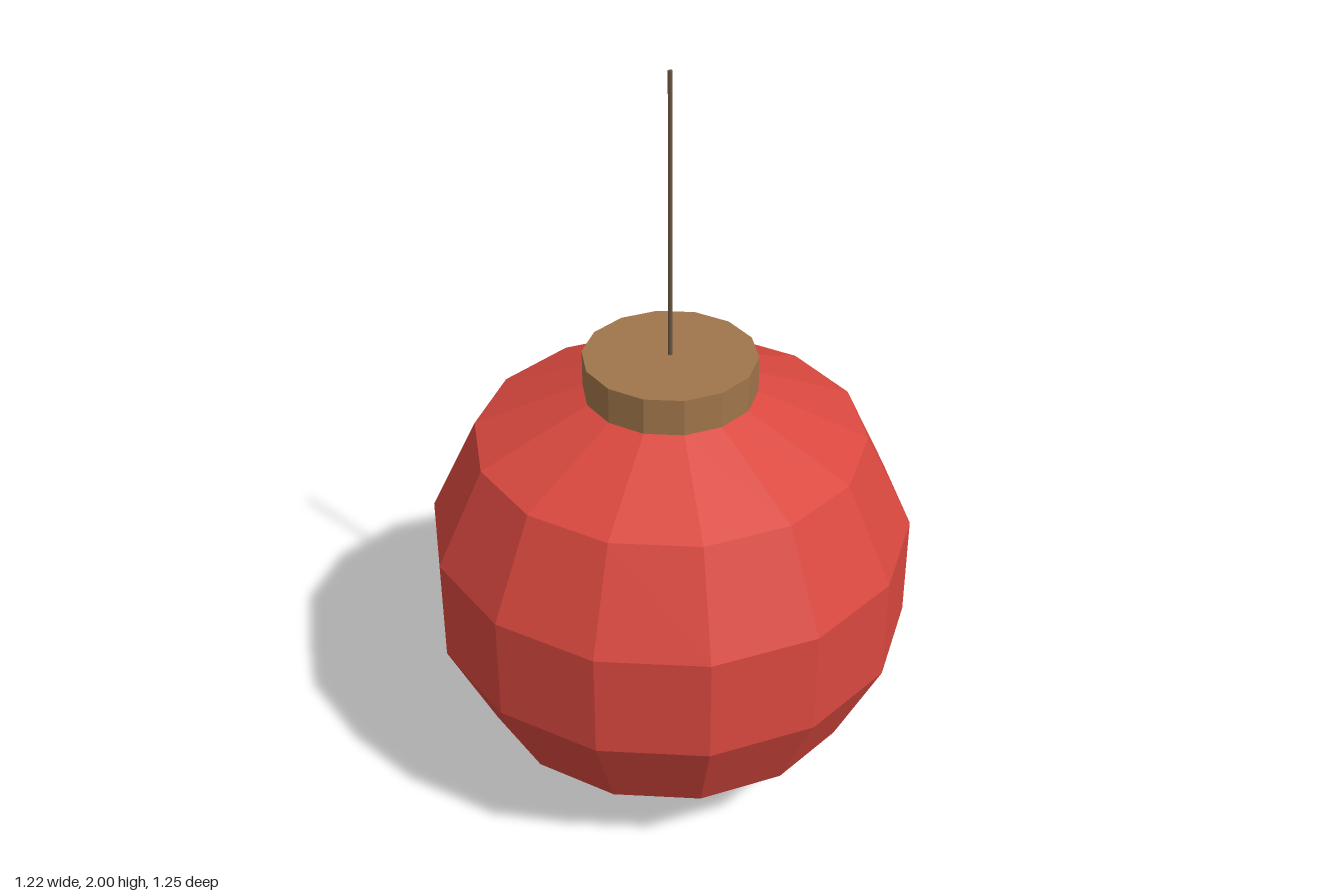
import * as THREE from 'three';

const SIDES = 14;

function flat(color) {
  return new THREE.MeshStandardMaterial({ color, flatShading: true });
}

export function createModel() {
  const lantern = new THREE.Group();
  lantern.name = 'hangingLantern';
  const red = flat(0xd9483f);
  const wood = flat(0xa0754b);
  const dark = flat(0x6b5640);

  function add(name, geometry, material, y = 0) {
    const mesh = new THREE.Mesh(geometry, material);
    mesh.name = name;
    mesh.position.y = y;
    lantern.add(mesh);
  }

  // Faceted paper shade, bottom to top
  const profile = [
    [0, 0.1], [0.22, 0.1], [0.502, 0.23], [0.625, 0.49],
    [0.625, 0.773], [0.502, 1.032], [0.22, 1.16], [0, 1.16],
  ].map(([r, y]) => new THREE.Vector2(r, y));
  add('shade', new THREE.LatheGeometry(profile, SIDES), red);

  // Wooden end caps
  const cap = new THREE.CylinderGeometry(0.221, 0.221, 0.1, SIDES);
  add('bottomCap', cap, wood, 0.05);
  add('topCap', cap, wood, 1.207);

  // Hanging cord
  add('cord', new THREE.CylinderGeometry(0.006, 0.006, 0.75, 6), dark, 1.625);

  return lantern;
}
